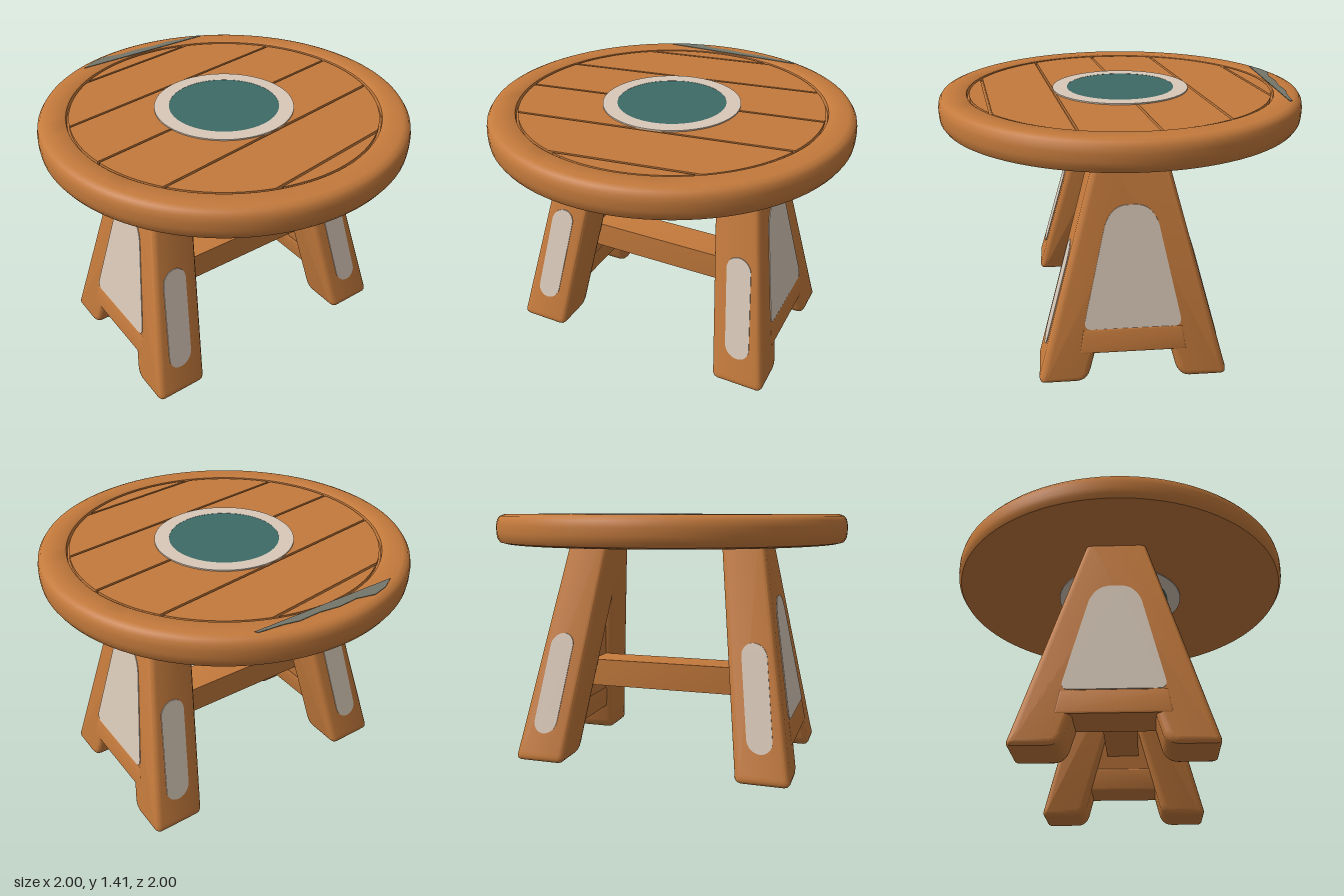
import * as THREE from 'three';
import { toCreasedNormals } from 'three/addons/utils/BufferGeometryUtils.js';

const mat = (name, color, side = THREE.FrontSide) => {
  const m = new THREE.MeshStandardMaterial({ color, side });
  m.name = name;
  return m;
};

export function createModel() {
  const wood = mat('wood', 0xc47a3c);
  const cream = mat('cream inlay', 0xd8c8b8);
  const teal = mat('teal inlay', 0x3d6a66);
  const worn = mat('worn paint', 0x74766a);

  const model = new THREE.Group();
  model.name = 'stool';
  const add = (name, geometry, material, parent = model) => {
    const mesh = new THREE.Mesh(geometry, material);
    mesh.name = name;
    parent.add(mesh);
    return mesh;
  };
  const points = (list) => list.map(([x, y]) => new THREE.Vector2(x, y));

  // Extrudes a shape to the exact depth, with its bevel kept inside the outline
  const extrude = (shape, depth, bevel = 0) => {
    const g = new THREE.ExtrudeGeometry(shape, {
      depth: depth - 2 * bevel, curveSegments: 10,
      bevelEnabled: bevel > 0, bevelSize: bevel, bevelThickness: bevel,
      bevelOffset: -bevel, bevelSegments: 3,
    });
    return g.translate(0, 0, bevel);
  };
  const warp = (g, rule) => {
    const p = g.attributes.position, v = new THREE.Vector3();
    for (let i = 0; i < p.count; i++) {
      rule(v.fromBufferAttribute(p, i));
      p.setXYZ(i, v.x, v.y, v.z);
    }
    return toCreasedNormals(g, 0.6);
  };

  // Round top with a rolled rim and a recessed floor for the planks
  const rim = points([
    [0, 1.25], [0.95, 1.25], [0.982, 1.258], [0.996, 1.28], [1, 1.31], [1, 1.35],
    [0.994, 1.38], [0.98, 1.4], [0.955, 1.41], [0.855, 1.41], [0.846, 1.404],
    [0.842, 1.382], [0, 1.382],
  ]);
  add('tableTop', toCreasedNormals(new THREE.LatheGeometry(rim, 96), 0.6), wood);

  // Planks: slices of a disc separated by narrow grooves
  const planks = new THREE.Group();
  planks.name = 'planks';
  planks.rotation.y = 0.142;
  model.add(planks);
  const R = 0.832, gap = 0.007;
  const seams = [-R, -0.745, -0.38, 0, 0.38, 0.745, R];
  for (let i = 0; i < 6; i++) {
    const a0 = Math.asin(Math.max(-1, (seams[i] + (i ? gap : 0)) / R));
    const a1 = Math.asin(Math.min(1, (seams[i + 1] - (i < 5 ? gap : 0)) / R));
    const s = new THREE.Shape();
    s.absarc(0, 0, R, a0, a1, false);
    s.absarc(0, 0, R, Math.PI - a1, Math.PI - a0, false);
    const g = extrude(s, 0.022).rotateX(-Math.PI / 2).translate(0, 1.38, 0);
    add('plank', g, wood, planks);
  }

  // Centre inlay on both faces of the top
  const ring = new THREE.Shape().absarc(0, 0, 0.378, 0, Math.PI * 2);
  ring.holes.push(new THREE.Path().absarc(0, 0, 0.298, 0, Math.PI * 2, true));
  for (const [side, y] of [['top', 1.402], ['bottom', 1.244]]) {
    const ringGeo = new THREE.ExtrudeGeometry(ring, { depth: 0.007, bevelEnabled: false, curveSegments: 48 });
    add(side + 'InlayRing', ringGeo.rotateX(-Math.PI / 2).translate(0, y, 0), cream);
    add(side + 'InlayDisc', new THREE.CylinderGeometry(0.3, 0.3, 0.006, 64).translate(0, y + 0.003, 0), teal);
  }

  // Worn patch along the back of the rim
  const patch = new THREE.Shape(points([
    [-0.41, 0.845], [0.42, 0.845], [0.41, 0.86], [0.28, 0.872], [0.2, 0.89], [0.08, 0.885],
    [-0.03, 0.9], [-0.14, 0.892], [-0.24, 0.915], [-0.33, 0.892],
  ]));
  add('wornPatch', extrude(patch, 0.004).rotateX(-Math.PI / 2).translate(0, 1.409, 0), worn);

  // Maps a side profile into the leaning, tapering slab of a leg frame (t: 0 inner, 1 outer)
  const slab = (shape, t0, t1, bevel = 0) => warp(extrude(shape, 0.3, bevel), (v) => {
    const t = t0 + (t1 - t0) * v.z / 0.3;
    const inner = 0.5 - 0.132 * v.y, outer = 0.8 - 0.176 * v.y;
    v.set(inner + (outer - inner) * t, v.y, -v.x);
  });

  // A-shaped leg outline with rounded feet
  const legs = new THREE.Shape();
  legs.moveTo(0.156, 1.3);
  legs.lineTo(-0.156, 1.3);
  legs.lineTo(-0.497, 0.05);
  legs.quadraticCurveTo(-0.515, 0, -0.47, 0);
  legs.lineTo(-0.31, 0);
  legs.quadraticCurveTo(-0.25, 0, -0.23, 0.06);
  legs.lineTo(0, 0.9);
  legs.lineTo(0.23, 0.06);
  legs.quadraticCurveTo(0.25, 0, 0.31, 0);
  legs.lineTo(0.47, 0);
  legs.quadraticCurveTo(0.515, 0, 0.497, 0.05);
  legs.closePath();

  const web = new THREE.Shape(points([[-0.25, 0.25], [0.25, 0.25], [0.02, 1.05], [-0.02, 1.05]]));
  const bar = new THREE.Shape(points([[-0.285, 0.165], [0.285, 0.165], [0.265, 0.3], [-0.265, 0.3]]));

  const panel = new THREE.Shape();
  panel.moveTo(-0.22, 0.3);
  panel.lineTo(0.22, 0.3);
  panel.quadraticCurveTo(0.265, 0.3, 0.25, 0.36);
  panel.lineTo(0.14, 0.85);
  panel.quadraticCurveTo(0.105, 0.955, 0.02, 0.955);
  panel.lineTo(-0.02, 0.955);
  panel.quadraticCurveTo(-0.105, 0.955, -0.14, 0.85);
  panel.lineTo(-0.25, 0.36);
  panel.quadraticCurveTo(-0.265, 0.3, -0.22, 0.3);

  // Rounded strip set into the front and back face of each leg
  const strip = new THREE.Shape();
  strip.absarc(0, 0.66, 0.07, 0, Math.PI, false);
  strip.absarc(0, 0.235, 0.07, Math.PI, Math.PI * 2, false);
  const stripGeo = (s) => warp(extrude(strip, 0.009), (v) => {
    v.x += 0.653 - 0.134 * v.y;
    v.z += s * (0.5105 - 0.2725 * v.y) - 0.0045;
  });

  // The two leg frames, one turned half round
  for (const [name, angle] of [['left', 0], ['right', Math.PI]]) {
    const frame = new THREE.Group();
    frame.name = name + 'LegFrame';
    frame.rotation.y = angle;
    model.add(frame);
    add('legs', slab(legs, 0, 1, 0.035), wood, frame);
    add('web', slab(web, 0.15, 0.95), wood, frame);
    add('footBar', slab(bar, 0.12, 1.01, 0.012), wood, frame);
    add('sidePanel', slab(panel, 0.985, 1.015), cream, frame);
    for (const s of [1, -1]) add('legStrip', stripGeo(s), cream, frame);
  }

  // Stretcher between the frames
  const beam = new THREE.Shape(points([[-0.1, 0.38], [0.1, 0.38], [0.1, 0.54], [-0.1, 0.54]]));
  const beamGeo = extrude(beam, 1.0, 0.012).translate(0, 0, -0.5).rotateY(Math.PI / 2);
  add('stretcher', toCreasedNormals(beamGeo, 0.6), wood);

  return model;
}
